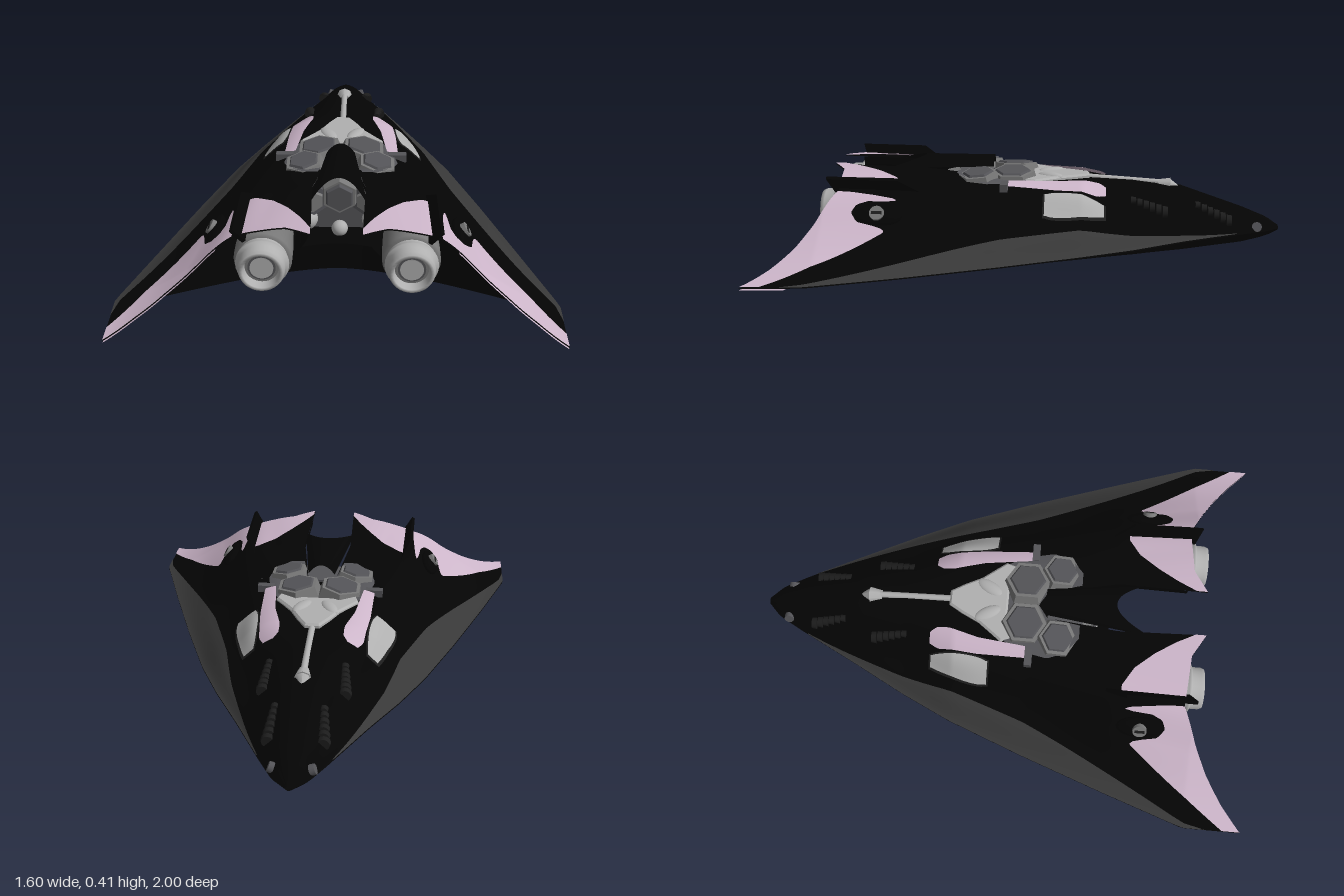
import * as THREE from 'three';

const paint = (name, hex) => new THREE.MeshStandardMaterial({ name, color: hex, side: THREE.DoubleSide });

// Hull stations: z, half width, keel height, then top heights from centre to chine
const ST = [
  [-1, .014, .11, .13, .13, .13, .128, .126, .122, .12],
  [-.95, .066, .085, .165, .163, .158, .15, .142, .13, .12],
  [-.85, .122, .06, .205, .203, .195, .18, .16, .14, .12],
  [-.6, .25, .03, .29, .285, .26, .22, .18, .145, .115],
  [-.4, .355, .018, .315, .31, .28, .228, .178, .145, .105],
  [-.2, .45, .012, .325, .325, .32, .285, .212, .16, .1],
  [.1, .565, .006, .32, .33, .33, .288, .21, .15, .09],
  [.45, .69, 0, .37, .375, .355, .325, .235, .14, .08],
  [.77, .8, 0, .385, .38, .36, .315, .21, .125, .075],
  [1, .8, 0, .38, .375, .355, .3, .2, .12, .07],
];
const lerp = THREE.MathUtils.lerp, clamp = THREE.MathUtils.clamp;

// Piecewise linear lookup through [key, value] pairs
function along(pairs, t) {
  let i = 0;
  while (i < pairs.length - 2 && t > pairs[i + 1][0]) i++;
  const [a, b] = [pairs[i], pairs[i + 1]];
  return lerp(a[1], b[1], clamp((t - a[0]) / (b[0] - a[0]), 0, 1));
}
const column = (k, z) => along(ST.map(r => [r[0], r[k]]), z);
const halfWidth = z => column(1, z);

// Height of the upper skin, smoothed across the width
function skinY(x, z) {
  const t = clamp(Math.abs(x) / halfWidth(z), 0, 1) * 6, i = Math.min(5, Math.floor(t)), f = t - i;
  const [a, b, c, d] = [-1, 0, 1, 2].map(o => column(3 + Math.min(6, Math.abs(i + o)), z));
  return b + .5 * f * (c - a + f * (2 * a - 5 * b + 4 * c - d + f * (3 * (b - c) + d - a)));
}
const bottomY = (s, z) => lerp(column(2, z), column(9, z), s ** 1.7);
const bellyEnd = s => .42 + .4 * s ** 1.7;
const trailZ = x => along([[.09, .8], [.18, .745], [.37, .73], [.5, .79], [.6, .845], [.7, .915], [.8, 1]], x);
const innerX = z => along([[.2, .06], [.45, .1], [.8, .09]], z);

// Surface grid from f(u, v) -> [x, y, z]; side -1 mirrors it
function grid(f, nu, nv, side = 1) {
  const pos = [], idx = [];
  for (let j = 0; j <= nv; j++) for (let i = 0; i <= nu; i++) {
    const [x, y, z] = f(i / nu, j / nv);
    pos.push(x * side, y, z);
  }
  for (let j = 0; j < nv; j++) for (let i = 0; i < nu; i++) {
    const a = j * (nu + 1) + i, b = a + 1, c = a + nu + 1, d = c + 1;
    if (side > 0) idx.push(a, c, d, a, d, b);
    else idx.push(a, d, c, a, b, d);
  }
  const g = new THREE.BufferGeometry();
  g.setAttribute('position', new THREE.Float32BufferAttribute(pos, 3));
  g.setIndex(idx);
  g.computeVertexNormals();
  return g;
}

export function createModel() {
  const root = new THREE.Group();
  root.name = 'starfighter';
  const black = paint('hull black', 0x040404), edge = paint('edge grey', 0x383838), pink = paint('dusty pink', 0xccb5c9);
  const light = paint('light metal', 0xb0b0b0), mid = paint('mid metal', 0x777777), dark = paint('dark metal', 0x545458);
  const rib = paint('rib grey', 0x1c1c1c);

  const add = (name, geo, mat, x = 0, y = 0, z = 0, rx = 0, ry = 0, rz = 0) => {
    const m = new THREE.Mesh(geo, mat);
    m.name = name;
    m.position.set(x, y, z);
    m.rotation.set(rx, ry, rz);
    root.add(m);
    return m;
  };
  // Panel lying just above (or below) the skin
  const panel = (name, mat, f, side, lift = () => .006, n = 28) => add(name, grid((u, v) => {
    const [x, z] = f(u, v);
    return [x, skinY(x, z) + lift(u, v), z];
  }, n, n, side), mat);
  const flat = g => { const n = g.toNonIndexed(); n.computeVertexNormals(); return n; };
  const hexPlate = (name, r, h, mat, ...at) => add(name, flat(new THREE.CylinderGeometry(r * .86, r, h, 6)), mat, ...at);
  const lathe = pts => new THREE.LatheGeometry(pts.map(p => new THREE.Vector2(...p)), 32).rotateX(Math.PI / 2);

  const finShape = new THREE.Shape([[.42, 0], [.5, .062], [.775, .068], [.75, -.005]].map(p => new THREE.Vector2(...p)));

  for (const s of [1, -1]) {
    // Upper hull, nose to waist, then the rear shoulder and wing
    add('foreHull', grid((u, v) => {
      const z = lerp(-1, .2, v), x = u * halfWidth(z);
      return [x, skinY(x, z), z];
    }, 42, 60, s), black);
    add('rearHull', grid((u, v) => {
      const z = lerp(.2, trailZ(lerp(.09, .8, u)), v), x = lerp(innerX(z), halfWidth(z), u);
      return [x, skinY(x, z), z];
    }, 60, 30, s), black);
    // Inner cheek beside the engine
    add('nacelleCheek', grid((u, v) => {
      const z = lerp(.36, .72, v), x = innerX(z);
      return [lerp(x, .155, u * u), lerp(skinY(x, z) - .002, .25, u), z];
    }, 8, 8, s), black);
    // Belly
    add('belly', grid((u, v) => {
      const z = lerp(-1, bellyEnd(u), v);
      return [u * halfWidth(z), bottomY(u, z), z];
    }, 24, 40, -s).scale(-1, 1, 1), black);
    // Rear wall closing the belly against deck and wing
    add('rearWall', grid((u, v) => {
      const z = bellyEnd(u), x = u * halfWidth(z), top = u > .5 ? skinY(x, z + .01) - .004 : .12;
      return [x, lerp(bottomY(u, z), top, v), z + .01 * v];
    }, 48, 2, s), black);
    add('rearDeck', grid((u, v) => [u * .36, .12, lerp(.15, .43 + .07 * u * u, v)], 8, 2, s), black);

    // Grey band along the chine
    panel('edgeBand', edge, (u, v) => {
      const z = lerp(-.82, .86, v), w = halfWidth(z);
      return [w * lerp(along([[-.82, .98], [-.5, .86], [-.2, .77], [.1, .79], [.5, .9], [.86, 1]], z), 1, u), z];
    }, s, () => .005, 40);
    // Painted wing, its underside, and the shoulder
    panel('wingPaint', pink, (u, v) => {
      const x = lerp(.372, .799, u);
      const z0 = along([[.37, .7], [.385, .52], [.398, .49], [.404, .6], [.425, .65], [.455, .665], [.485, .64], [.497, .55], [.51, .53], [.65, .72], [.8, .93]], x);
      return [x, lerp(z0, trailZ(x), v)];
    }, s, () => .006, 60);
    panel('wingUnderPaint', pink, (u, v) => {
      const x = lerp(.43, .799, u);
      return [x, lerp(bellyEnd(x / .8) + .02, trailZ(x), v)];
    }, s, () => -.006);
    panel('shoulderPaint', pink, (u, v) => {
      const x = lerp(.092, .335, u), z0 = along([[.09, .76], [.13, .68], [.18, .6], [.24, .525], [.31, .48], [.34, .48]], x);
      return [x, lerp(z0, trailZ(x), v)];
    }, s);
    panel('foreStripe', pink, (u, v) => {
      const z = lerp(-.295, .09, v);
      return [lerp(along([[-.295, .145], [-.27, .127], [-.22, .127], [-.1, .16], [.09, .183]], z),
        along([[-.295, .185], [-.26, .205], [-.1, .222], [.09, .228]], z), u), z];
    }, s, () => .012);
    // Side intake with a dark rim and bulged cover
    const intake = (name, mat, grow, rise, bulge) => panel(name, mat, (u, v) => {
      const z = lerp(-.288 - grow, -.055 + grow, v);
      const round = .5 + .5 * Math.sin(Math.PI * clamp(v, .03, .97)) ** .35;
      const c = lerp(.244, .285, v), hw = (lerp(.028, .054, v) + grow) * round;
      return [c + (u * 2 - 1) * hw, z];
    }, s, (u, v) => rise + bulge * Math.sin(Math.PI * u) * Math.sin(Math.PI * v));
    intake('intakeRim', rib, .007, .006, 0);
    intake('intake', light, 0, .011, .008);

    // Wing roundel on a dark blister
    const rx = .45, rz = .565, ry = skinY(rx, rz);
    add('roundelPad', new THREE.SphereGeometry(.055, 20, 12).scale(.85, .42, 1.7), black, s * rx, ry, rz, 0, 0, -s * .85);
    add('roundel', new THREE.CylinderGeometry(.028, .03, .03, 20), mid, s * (rx + .012), ry + .01, rz, 0, 0, -s * 1);
    add('roundelSlot', new THREE.BoxGeometry(.012, .034, .04), rib, s * (rx + .012), ry + .01, rz, 0, 0, -s * 1);

    // Tail fin
    const fin = new THREE.ExtrudeGeometry(finShape, { depth: .014, bevelEnabled: false });
    add('tailFin', fin.translate(0, 0, -.007).rotateY(-Math.PI / 2), black, s * .33, .327, 0, 0, 0, -s * .6);

    // Engine
    add('engine', lathe([[.085, .4], [.1, .55], [.105, .66], [.105, .72], [.09, .725]]), mid, s * .265, .235);
    add('engineNozzle', lathe([[.09, .725], [.09, .742], [.096, .747], [.096, .757], [.084, .762], [.084, .795], [.078, .81], [.066, .81], [.06, .77]]), light, s * .265, .235);
    add('engineRing', new THREE.RingGeometry(.042, .068, 32), mid, s * .265, .235, .775);
    add('engineGroove', new THREE.RingGeometry(.042, .05, 32), dark, s * .265, .235, .78);
    add('engineCore', new THREE.CircleGeometry(.042, 24), light, s * .265, .235, .785);

    // Ribbed nose guns and nose stud
    for (const [x, z] of [[.155, -.53], [.1, -.79]]) for (let i = 0; i < 6; i++) {
      const zi = z + i * .025, xi = x - i * .002;
      add('gunRib', new THREE.CylinderGeometry(.026 - i * .002, .023 - i * .002, .02, 12), rib, s * xi, skinY(xi, zi) + .002, zi, Math.PI / 2);
    }
    add('noseStud', new THREE.CylinderGeometry(.02, .022, .02, 16), dark, s * .074, .137, -.905, 0, 0, -s * 1.2);

    // Hexagonal machinery on the back, set in a dark bed
    panel('machineBed', dark, (u, v) => {
      const z = lerp(0, .3, v);
      return [lerp(along([[0, 0], [.14, 0], [.16, .055], [.3, .085]], z), along([[0, .165], [.06, .2], [.18, .225], [.25, .2], [.3, .14]], z), u), z];
    }, s, () => .007, 16);
    hexPlate('topHex', .102, .05, mid, s * .088, .338, .08, 0, 0, -s * .12);
    hexPlate('topHexInset', .078, .012, dark, s * .091, .364, .08, 0, 0, -s * .12);
    hexPlate('rearHex', .088, .04, mid, s * .142, .344, .215, .1, 0, -s * .15);
    hexPlate('rearHexInset', .066, .012, dark, s * .144, .366, .215, .1, 0, -s * .15);
    add('sideTab', new THREE.BoxGeometry(.07, .03, .03), dark, s * .225, .325, .105);
    // Machinery seen under the spine
    hexPlate('coreHexSide', .075, .04, dark, s * .105, .255, .32, Math.PI / 2, 0, s * .3);
    hexPlate('coreHexSideInset', .05, .02, mid, s * .105, .255, .345, Math.PI / 2, 0, s * .3);
    add('corePod', new THREE.SphereGeometry(.045, 16, 12), light, s * .13, .165, .32);
  }

  // Central machinery block and its rear plates
  add('coreBlock', new THREE.BoxGeometry(.3, .22, .14), dark, 0, .23, .24);
  hexPlate('coreHex', .08, .05, mid, 0, .28, .33, Math.PI / 2);
  hexPlate('coreHexInset', .062, .02, dark, 0, .28, .36, Math.PI / 2);
  add('coreBall', new THREE.SphereGeometry(.032, 16, 12), light, 0, .14, .35);

  // Light frame ahead of the machinery
  const half = [[.025, -.22], [.055, -.17], [.09, -.1], [.16, -.01], [.15, .03], [.06, .0]];
  const frame = new THREE.Shape([...half, ...half.map(([x, z]) => [-x, z]).reverse()].map(([x, z]) => new THREE.Vector2(x, z)));
  add('lightFrame', new THREE.ExtrudeGeometry(frame, { depth: .025, bevelEnabled: true, bevelSize: .008, bevelThickness: .008, bevelSegments: 1 })
    .rotateX(Math.PI / 2), light, 0, .334, 0);
  for (const s of [1, -1]) add('frameBoss', new THREE.SphereGeometry(.04, 16, 10).scale(.7, .4, 1.5), light, s * .055, .336, -.07, 0, -s * .5);

  // Long barrel sunk into the nose deck
  add('barrel', new THREE.CylinderGeometry(.013, .013, .36, 12), light, 0, .313, -.37, Math.PI / 2 - .07);
  add('barrelCollar', new THREE.CylinderGeometry(.034, .022, .05, 8), light, 0, .291, -.53, -Math.PI / 2 - .1);
  add('barrelTip', new THREE.ConeGeometry(.032, .05, 8), light, 0, .284, -.578, -Math.PI / 2 - .1);

  // Arched spine cover with a notched tail
  add('spineCover', grid((u, v) => {
    const t = u * 2 - 1, z = lerp(.16, .44 + .14 * t * t, v);
    return [t * lerp(.055, .11, v), .412 - .04 * t * t, z];
  }, 20, 12), black);
  return root;
}
